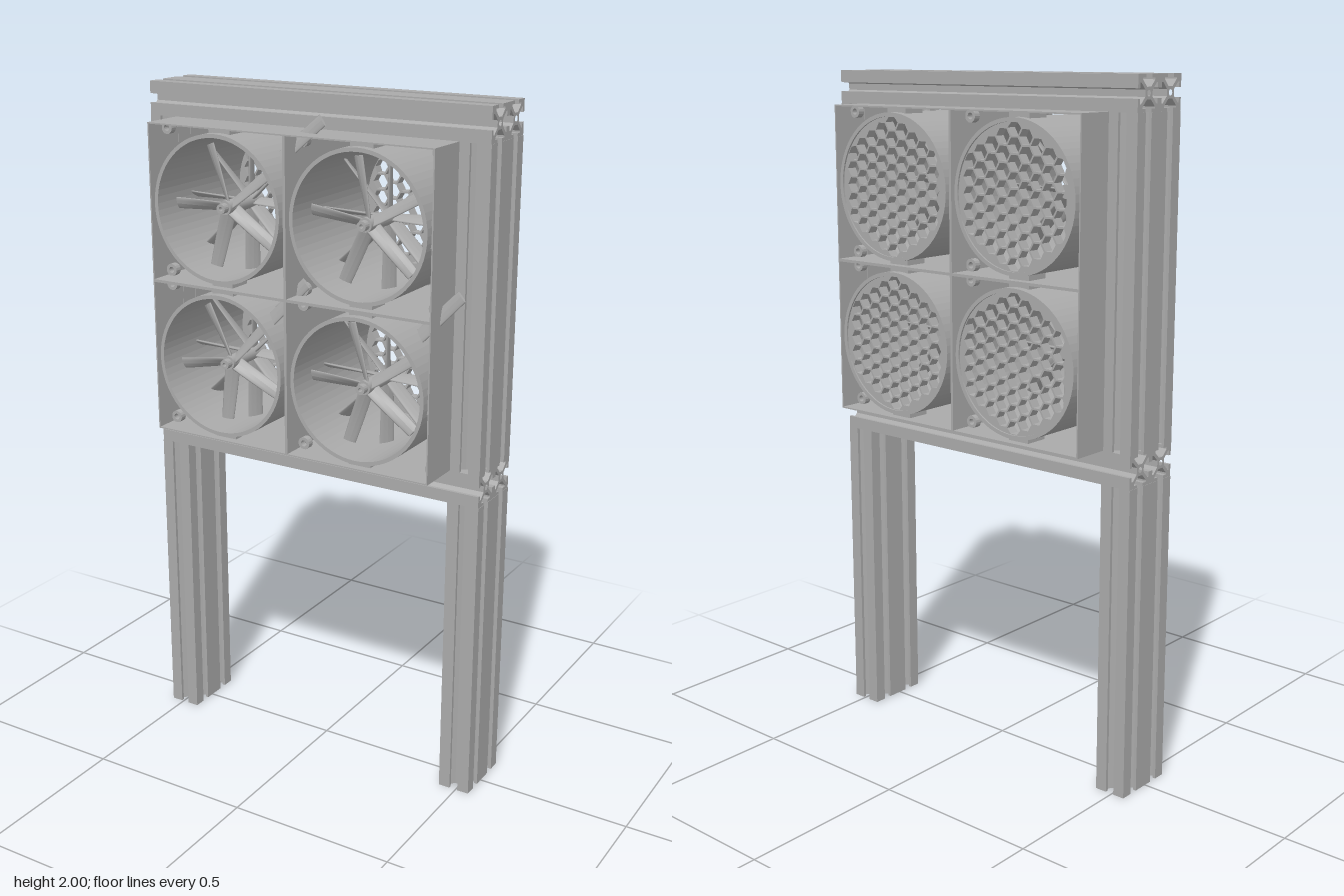
import * as THREE from 'three';

const H = 0.048;          // half width of one slotted rail cell
const RAIL_Z = -0.01;     // rails sit slightly behind the middle
const HALF = 0.225;       // half width of one fan housing
const DEPTH = 0.44;       // front to back of a housing
const R_OUT = 0.209, R_IN = 0.198;

const grey = new THREE.MeshStandardMaterial({ color: 0xaaaaaa });
grey.name = 'brushed grey';

function add(parent, geometry, name, x = 0, y = 0, z = 0) {
  const m = new THREE.Mesh(geometry, grey);
  m.name = name;
  m.position.set(x, y, z);
  parent.add(m);
  return m;
}

function extrude(shape, depth, curveSegments = 12) {
  return new THREE.ExtrudeGeometry(shape, { depth, bevelEnabled: false, curveSegments })
    .translate(0, 0, -depth / 2);
}

function circle(r, x = 0, y = 0) {
  return new THREE.Path().absarc(x, y, r, 0, Math.PI * 2, true);
}

function ring(outer, inner) {
  const s = new THREE.Shape().absarc(0, 0, outer, 0, Math.PI * 2);
  s.holes.push(circle(inner));
  return s;
}

function square(half) {
  return [[-half, -half], [half, -half], [half, half], [-half, half]]
    .map(([x, y]) => new THREE.Vector2(x, y));
}

// T-slot outline: one side turned four times, with a bored core
function slotShape() {
  const side = [[-H, H], [-0.013, H], [-0.013, 0.039], [-0.027, 0.039], [-0.027, 0.034],
    [-0.009, 0.016], [0.009, 0.016], [0.027, 0.034], [0.027, 0.039], [0.013, 0.039], [0.013, H]];
  const pts = [];
  for (let q = 0; q < 4; q++) {
    for (const [x, y] of side) {
      pts.push(new THREE.Vector2(x, y).rotateAround(new THREE.Vector2(), -q * Math.PI / 2));
    }
  }
  const s = new THREE.Shape(pts);
  s.holes.push(circle(0.008));
  return s;
}

// Double-cell rail, running along x or y
function rail(parent, name, length, axis, x, y) {
  const g = new THREE.Group();
  g.name = name;
  const geo = extrude(slotShape(), length);
  if (axis === 'x') geo.rotateY(Math.PI / 2);
  else geo.rotateX(Math.PI / 2);
  for (const z of [-H, H]) add(g, geo, 'railCell', 0, 0, z);
  g.position.set(x, y, RAIL_Z);
  parent.add(g);
}

// Round panel pierced by hexagons, with edge cells clipped to the circle
function honeycombGeometry() {
  const cell = 0.0262, wall = 0.003, limit = R_IN - 0.002;
  const s = new THREE.Shape().absarc(0, 0, R_IN + 0.004, 0, Math.PI * 2);
  for (let i = -6; i <= 6; i++) {
    for (let j = -6; j <= 6; j++) {
      const cx = i * cell * 1.5;
      const cy = (j + (Math.abs(i) % 2) / 2) * cell * Math.sqrt(3);
      if (Math.hypot(cx, cy) > limit - 0.006) continue;
      const pts = [];
      for (let k = 0; k < 6; k++) {
        const a = -k * Math.PI / 3;
        pts.push(new THREE.Vector2(cx + (cell - wall) * Math.cos(a), cy + (cell - wall) * Math.sin(a))
          .clampLength(0, limit));
      }
      s.holes.push(new THREE.Path(pts));
    }
  }
  return extrude(s, 0.03, 32);
}

// Lens-section blade growing along +y, twisted from root to tip
function bladeGeometry(length, rootChord, tipChord, rootTwist, tipTwist) {
  const g = new THREE.CylinderGeometry(1, 1, length, 12, 6).translate(0, length / 2, 0);
  const p = g.attributes.position;
  for (let i = 0; i < p.count; i++) {
    const t = p.getY(i) / length;
    const chord = THREE.MathUtils.lerp(rootChord, tipChord, t) / 2;
    const a = THREE.MathUtils.lerp(rootTwist, tipTwist, t);
    const u = p.getX(i) * chord, v = p.getZ(i) * 0.005;
    p.setX(i, u * Math.cos(a) - v * Math.sin(a));
    p.setZ(i, u * Math.sin(a) + v * Math.cos(a));
  }
  g.computeVertexNormals();
  return g;
}

export function createModel() {
  const model = new THREE.Group();
  model.name = 'fanWall';

  // Frame
  rail(model, 'topBeam', 1.08, 'x', 0, 2 - H);
  rail(model, 'lowerBeam', 1.08, 'x', 0, 0.957);
  for (const [side, x] of [['left', 0.493], ['right', -0.493]]) {
    rail(model, side + 'Leg', 0.909, 'y', x, 0.4545);
    rail(model, side + 'Post', 0.899, 'y', x, 1.4545);
  }

  // Shared fan parts
  const boxShape = new THREE.Shape(square(HALF));
  boxShape.holes.push(new THREE.Path(square(HALF - 0.004).reverse()));
  const boxGeo = extrude(boxShape, DEPTH);
  const ductGeo = extrude(ring(R_OUT, R_IN), DEPTH, 32);
  const lugGeo = extrude(ring(0.018, 0.009), 0.02, 8);
  const bridgeGeo = new THREE.BoxGeometry(0.07, 0.018, 0.07);
  const combGeo = honeycombGeometry();
  const vaneGeo = bladeGeometry(0.185, 0.05, 0.05, 1.35, 1.1);
  const bladeGeo = bladeGeometry(0.165, 0.045, 0.036, 0.9, 0.35);
  const strayGeo = bladeGeometry(0.17, 0.045, 0.036, 0.5, 0.2);
  const hubGeo = new THREE.CylinderGeometry(0.02, 0.02, 0.17, 20).rotateX(Math.PI / 2);
  const capGeo = extrude(ring(0.014, 0.006), 0.02, 8);

  // Fans: centre, rotor phase, and whether a loose blade lies past the rim
  const fans = [
    [-HALF, 1.68, 0.35, true], [HALF, 1.68, 0.2, false],
    [-HALF, 1.23, 0.5, true], [HALF, 1.23, 0.3, true],
  ];
  for (const [x, y, phase, loose] of fans) {
    const fan = new THREE.Group();
    fan.name = 'fan';
    fan.position.set(x, y, 0);
    model.add(fan);
    add(fan, boxGeo, 'housing');
    add(fan, ductGeo, 'duct');
    add(fan, combGeo, 'honeycombGrille', 0, 0, -0.2);
    add(fan, hubGeo, 'hub', 0, 0, 0.09);
    add(fan, capGeo, 'hubCap', 0, 0, 0.185);

    for (const sx of [-1, 1]) {
      for (const sy of [-1, 1]) {
        for (const z of [-0.15, 0.15]) add(fan, lugGeo, 'screwLug', sx * 0.204, sy * 0.204, z);
      }
    }
    // Bridges between duct and housing walls
    for (let k = 0; k < 4; k++) {
      const a = k * Math.PI / 2;
      for (const z of [-0.16, 0.16]) {
        add(fan, bridgeGeo, 'bridge', -Math.sin(a) * 0.2125, Math.cos(a) * 0.2125, z).rotation.z = a;
      }
    }
    // Fixed vanes behind the rotor
    for (let k = 0; k < 8; k++) {
      const a = k * Math.PI / 4;
      add(fan, vaneGeo, 'vane', -Math.sin(a) * 0.015, Math.cos(a) * 0.015, 0.04).rotation.z = a;
    }
    // Rotor
    for (let k = 0; k < 5; k++) {
      const a = phase + k * Math.PI * 2 / 5;
      add(fan, bladeGeo, 'rotorBlade', -Math.sin(a) * 0.015, Math.cos(a) * 0.015, 0.15).rotation.z = a;
    }
    if (loose) {
      const a = y > 1.5 ? -0.87 : -0.77;
      const r = x < 0 && y < 1.5 ? 0.2 : 0.235;
      add(fan, strayGeo, 'looseBlade', -Math.sin(a) * r, Math.cos(a) * r, 0.16).rotation.z = a;
    }
  }
  return model;
}
